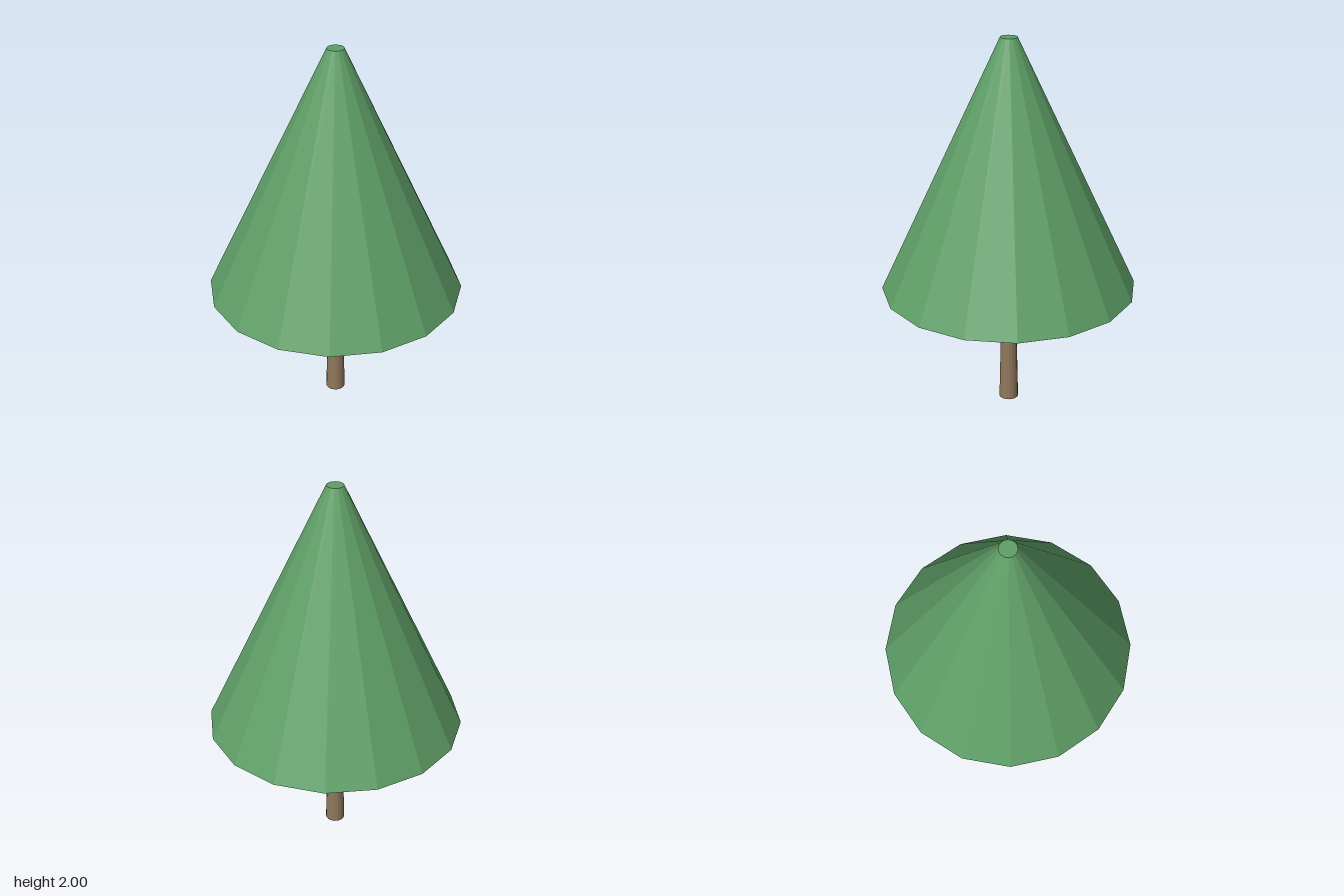
import * as THREE from 'three';

const SIDES = 16;

// Tapered, flat-shaded cylinder standing between two heights
function taper(name, topRadius, bottomRadius, y0, y1, material) {
  const geometry = new THREE.CylinderGeometry(topRadius, bottomRadius, y1 - y0, SIDES);
  geometry.translate(0, (y0 + y1) / 2, 0);
  const mesh = new THREE.Mesh(geometry, material);
  mesh.name = name;
  return mesh;
}

export function createModel() {
  const leafGreen = new THREE.MeshStandardMaterial({ color: 0x5f9f67, flatShading: true });
  leafGreen.name = 'leaf green';
  const barkBrown = new THREE.MeshStandardMaterial({ color: 0x8f765c, flatShading: true });
  barkBrown.name = 'bark brown';

  const tree = new THREE.Group();
  tree.name = 'tree';

  // Slim trunk narrowing upwards to the underside of the foliage
  tree.add(taper('trunk', 0.036, 0.051, 0, 0.67, barkBrown));

  // Foliage cone with a small flat tip
  tree.add(taper('foliage', 0.044, 0.667, 0.67, 2, leafGreen));

  return tree;
}
